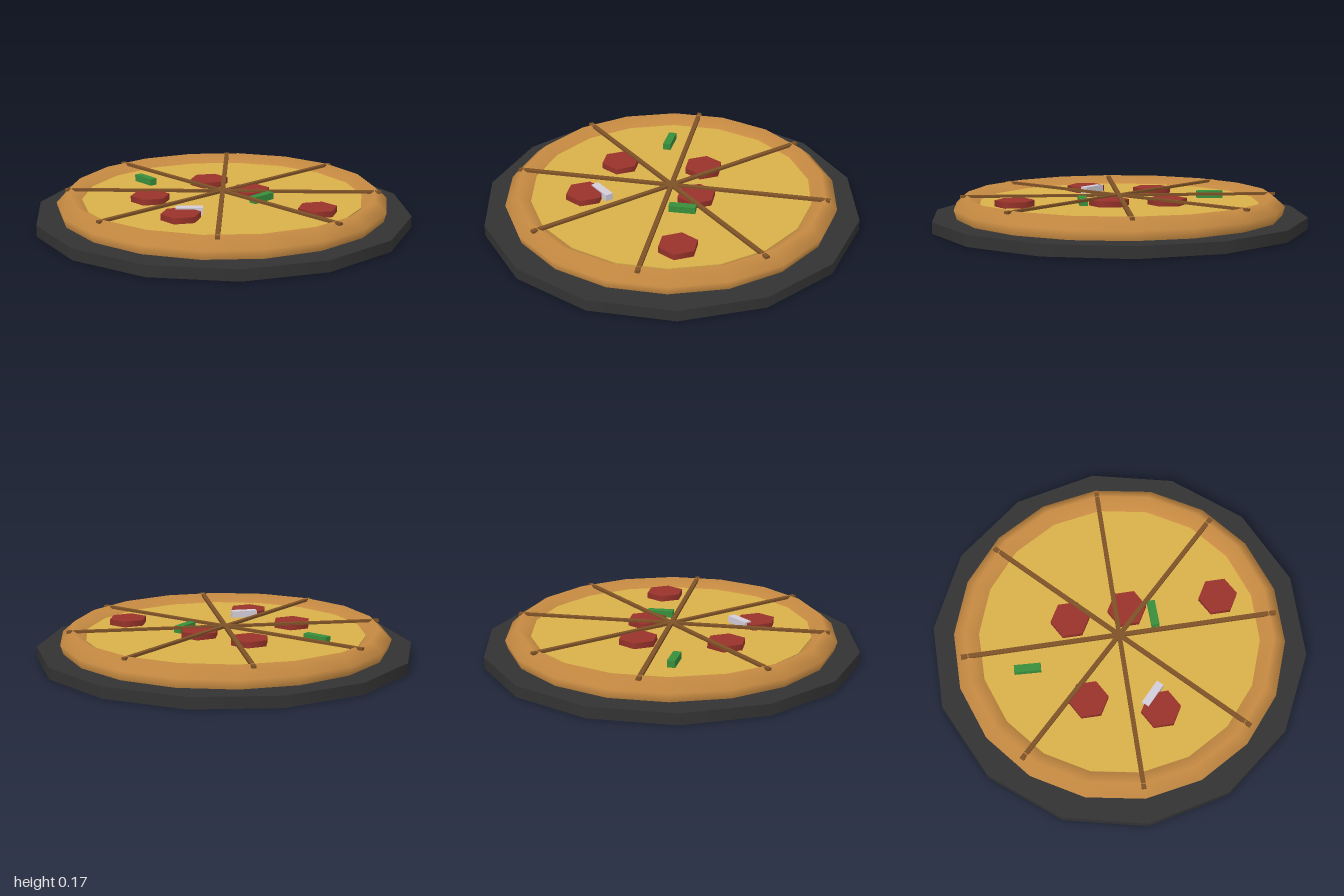
import * as THREE from 'three';

const mat = (name, color) => Object.assign(new THREE.MeshStandardMaterial({ color }), { name });

export function createModel() {
  const group = new THREE.Group();
  const board = mat('charcoal board', 0x333333);
  const crust = mat('baked crust', 0xc68a42);
  const cheese = mat('yellow cheese', 0xd9b04a);
  const cut = mat('brown cut', 0x7d5126);
  const meat = mat('red sausage', 0x98332a);
  const pepper = mat('green pepper', 0x388e3c);
  const onion = mat('pale onion', 0xd2ccd8);

  const add = (name, geometry, material, x, y, z, turn = 0) => {
    const mesh = new THREE.Mesh(geometry, material);
    mesh.name = name;
    mesh.position.set(x, y, z);
    mesh.rotation.y = turn;
    group.add(mesh);
    return mesh;
  };
  const disc = (r, h, sides, start = 0) => new THREE.CylinderGeometry(r, r, h, sides, 1, false, start);

  // Serving board, a corner pointing to each side
  add('board', disc(1, 0.06, 14, Math.PI / 2), board, 0, 0.03, 0);

  // Crust ring with a raised ridge
  const profile = [[0.865, 0.06], [0.88, 0.11], [0.815, 0.168], [0.735, 0.115]]
    .map(([r, y]) => new THREE.Vector2(r, y));
  add('crust', new THREE.LatheGeometry(profile, 18, Math.PI / 2), crust, 0, 0, 0);

  // Cheese filling
  add('cheese', disc(0.745, 0.067, 18, Math.PI / 2), cheese, 0, 0.0935, 0);

  // Four cuts across, making eight slices
  const bar = new THREE.BoxGeometry(1.68, 0.013, 0.024);
  for (let i = 0; i < 4; i++) add('sliceCut', bar, cut, 0, 0.16, 0, i * Math.PI / 4);

  // Six-sided sausage slices
  const slice = disc(0.104, 0.035, 6);
  [[-0.326, -0.21], [0.128, -0.245], [0.145, 0.062], [-0.433, 0.153], [0.143, 0.553]]
    .forEach(([x, z]) => add('sausageSlice', slice, meat, x, 0.141, z));

  // Vegetable strips
  const strip = new THREE.BoxGeometry(0.14, 0.036, 0.042);
  add('pepperStrip', strip, pepper, -0.11, 0.145, -0.503, Math.PI / 2 - 0.05);
  add('pepperStrip', strip, pepper, 0.097, 0.145, 0.197, 0.03);
  add('onionStrip', strip, onion, -0.348, 0.148, 0.123, -0.75);

  return group;
}
